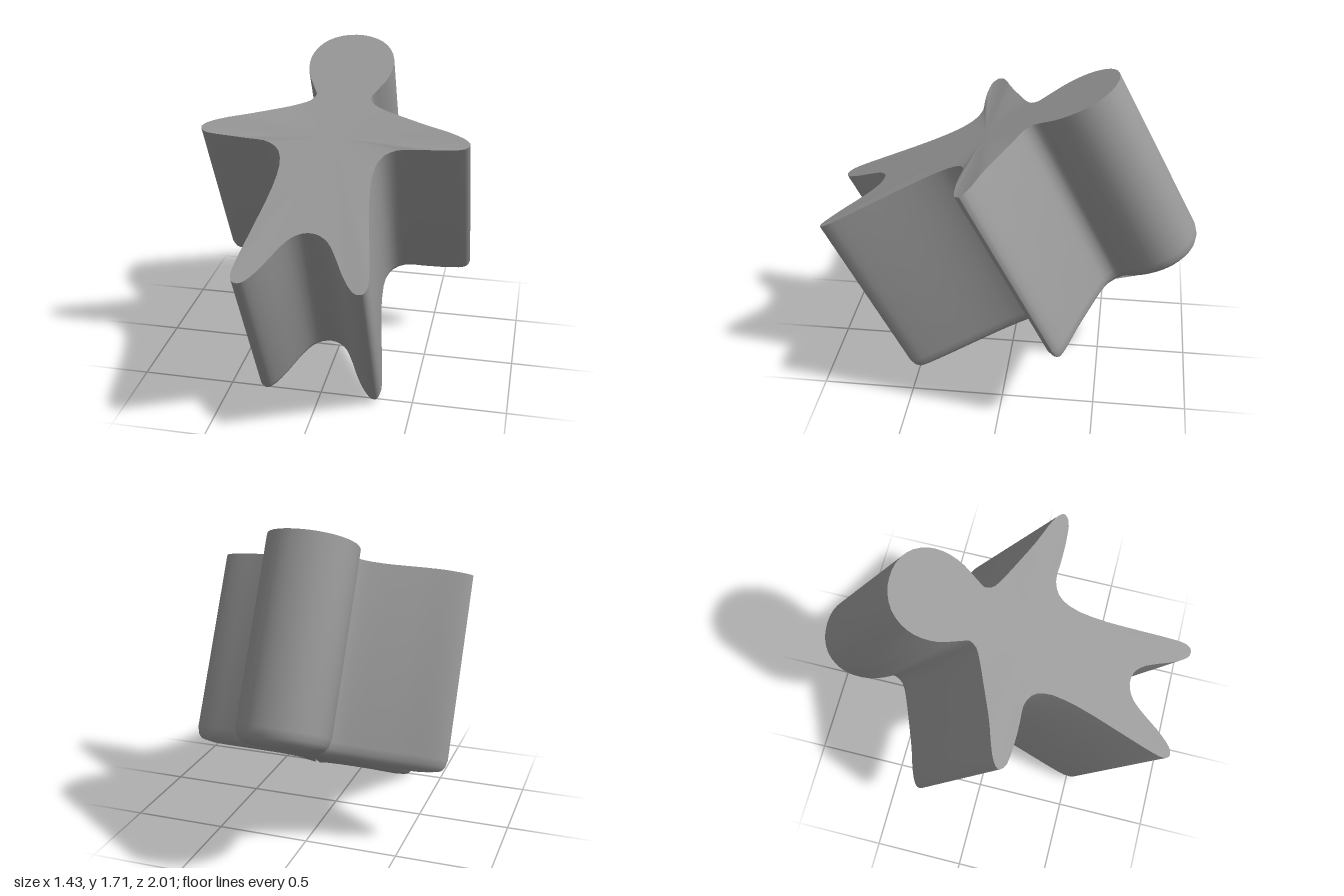
import * as THREE from 'three';
import { toCreasedNormals } from 'three/addons/utils/BufferGeometryUtils.js';

// Half outline of the figure, from crown to crotch: [x, distance along the face]
const HALF = [
  [0, 1.285], [0.09, 1.27], [0.17, 1.22], [0.22, 1.14], [0.235, 1.055], [0.22, 0.955], [0.18, 0.87],
  [0.148, 0.815], [0.165, 0.76], [0.22, 0.722], [0.35, 0.662], [0.5, 0.597], [0.62, 0.553], [0.69, 0.517], [0.715, 0.485],
  [0.69, 0.453], [0.6, 0.438], [0.45, 0.432], [0.35, 0.43], [0.28, 0.388], [0.247, 0.3], [0.25, 0.13],
  [0.285, -0.1], [0.325, -0.34], [0.332, -0.43], [0.315, -0.466], [0.285, -0.47], [0.255, -0.45],
  [0.2, -0.37], [0.15, -0.272], [0.1, -0.19], [0.05, -0.15], [0, -0.138],
];
const FACE = 1.262, BASE = 0.212, CENTRE = 0.5;

// Rounded lower edge: [how far drawn in, height along the extrusion axis]
const EDGE = [[0, 0.296], [0.01, 0.258], [0.027, 0.234], [0.055, 0.216]];

function edgeHeight(amount) {
  const i = Math.max(1, EDGE.findIndex(([a]) => amount <= a));
  const [a0, h0] = EDGE[i - 1], [a1, h1] = EDGE[i];
  return h0 + (h1 - h0) * (amount - a0) / (a1 - a0);
}

function makeOutline() {
  const left = HALF.slice(1, -1).reverse().map(([x, y]) => [-x, y]);
  const pts = [...HALF, ...left].reverse().map(([x, y]) => new THREE.Vector3(x, y, 0));
  return new THREE.CatmullRomCurve3(pts, true, 'centripetal').getPoints(144).slice(0, -1)
    .map(p => new THREE.Vector2(p.x, p.y));
}

// Inward normal and largest inscribed radius at each point, so insets never fold
function makeInset(outline) {
  const n = outline.length;
  const info = outline.map((p, i) => {
    const t = outline[(i + 1) % n].clone().sub(outline[(i + n - 1) % n]).normalize();
    const inward = new THREE.Vector2(-t.y, t.x);
    let radius = 1;
    for (const q of outline) {
      const d = q.clone().sub(p), k = d.dot(inward);
      if (k > 1e-4) radius = Math.min(radius, d.lengthSq() / (2 * k));
    }
    return { inward, radius };
  });
  return amount => outline.map((p, i) => {
    const a = Math.min(amount, info[i].radius * 0.8);
    const q = p.clone().addScaledVector(info[i].inward, a);
    return [q.x, q.y, edgeHeight(a)];
  });
}

function makeBody() {
  const outline = makeOutline(), inset = makeInset(outline), n = outline.length;
  // The face rises slightly towards the hands
  const face = outline.map(p => [p.x, p.y, FACE + 0.025 * THREE.MathUtils.smoothstep(Math.abs(p.x), 0.2, 0.6)]);
  const loops = [face, ...EDGE.map(([amount]) => inset(amount))];
  const positions = loops.flat(2), index = [];
  const last = (loops.length - 1) * n, top = loops.length * n, bottom = top + 1;
  positions.push(0, CENTRE, FACE, 0, CENTRE, BASE);

  for (let i = 0; i < n; i++) {
    const j = (i + 1) % n;
    // Walls and rounded lower edge
    for (let r = 0; r < loops.length - 1; r++) {
      const a = r * n + i, b = r * n + j;
      index.push(a, a + n, b, b, a + n, b + n);
    }
    // Face and base, fanned from the chest
    index.push(top, i, j, bottom, last + j, last + i);
  }
  const geometry = new THREE.BufferGeometry();
  geometry.setAttribute('position', new THREE.Float32BufferAttribute(positions, 3));
  geometry.setIndex(index);
  return toCreasedNormals(geometry, 0.65);
}

export function createModel() {
  const group = new THREE.Group();
  group.name = 'figureBlock';
  const grey = new THREE.MeshStandardMaterial({ color: 0x999999 });
  grey.name = 'grey';

  // Thick figure leaning back, its flat face turned up and forward
  const geometry = makeBody();
  geometry.rotateX(-Math.atan2(0.885, 0.4655));
  geometry.computeBoundingBox();
  const { min, max } = geometry.boundingBox;
  // The extrusion axis starts just in front of the centre; the lowest toe rests on the ground
  geometry.translate(0, -min.y, -(min.z + max.z) / 2);
  const body = new THREE.Mesh(geometry, grey);
  body.name = 'figureBody';
  group.add(body);
  return group;
}
